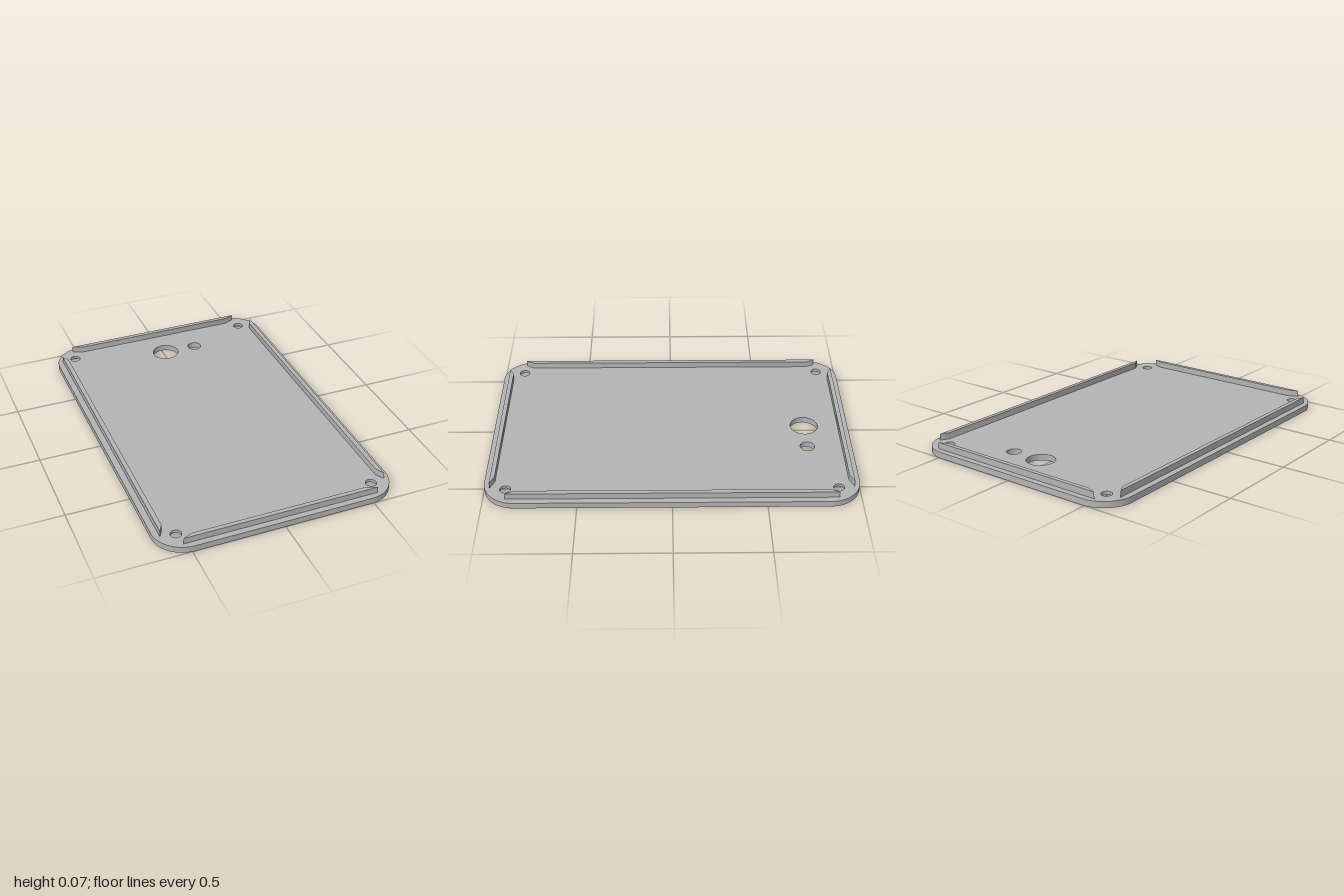
import * as THREE from 'three';
import { toCreasedNormals } from 'three/addons/utils/BufferGeometryUtils.js';

const W = 0.657, L = 1.0, R = 0.17;      // plate half width, half length, corner radius
const STEP = 0.017, T = 0.034, TOP = 0.069; // recess depth, plate thickness, lip top
const RING_Z = -0.34, RING_OUT = 0.63, RING_IN = 0.515;
const TAB = 0.066, TAB_END = 0.45;       // half width and far end of the tab slot

// Shapes are drawn with shape y = -z
function plateOutline() {
  const s = new THREE.Shape();
  s.moveTo(W, -L + R);
  s.absarc(W - R, L - R, R, 0, Math.PI / 2);
  s.absarc(-W + R, L - R, R, Math.PI / 2, Math.PI);
  s.absarc(-W + R, -L + R, R, Math.PI, Math.PI * 1.5);
  s.absarc(W - R, -L + R, R, Math.PI * 1.5, Math.PI * 2);
  return s;
}

function circle(x, z, r, Type = THREE.Path) {
  return new Type().absarc(x, -z, r, 0, Math.PI * 2);
}

// Outer edge of the ring recess with its rectangular tab
function ringOutline() {
  const p = new THREE.Path();
  const a = Math.asin(TAB / RING_OUT);
  p.moveTo(-TAB, -TAB_END);
  p.lineTo(TAB, -TAB_END);
  p.absarc(0, -RING_Z, RING_OUT, -Math.PI / 2 + a, Math.PI * 1.5 - a);
  p.closePath();
  return p;
}

function slab(name, shape, y0, y1, material) {
  const extruded = new THREE.ExtrudeGeometry(shape, {
    depth: y1 - y0, bevelEnabled: false, curveSegments: 40,
  });
  extruded.rotateX(-Math.PI / 2).translate(0, y0, 0);
  const mesh = new THREE.Mesh(toCreasedNormals(extruded, 0.6), material);
  mesh.name = name;
  return mesh;
}

export function createModel() {
  const group = new THREE.Group();
  group.name = 'backPlate';
  const grey = new THREE.MeshStandardMaterial({ color: 0xb4b4b4 });
  grey.name = 'grey';

  const screwHoles = (r) => [-1, 1].flatMap((sx) =>
    [-1, 1].map((sz) => circle(sx * 0.543, sz * 0.883, r)));
  const lensHoles = () => [circle(0, -0.753, 0.077), circle(0.19, -0.753, 0.04)];

  // Upper layer with the through holes
  const upper = plateOutline();
  upper.holes.push(...screwHoles(0.029), ...lensHoles());
  group.add(slab('plateUpper', upper, STEP, T, grey));

  // Lower layer with the ring recess and counterbored screw holes
  const lower = plateOutline();
  lower.holes.push(...screwHoles(0.052), ringOutline());
  group.add(slab('plateLower', lower, 0, STEP, grey));

  // Disc left standing inside the ring recess
  const disc = circle(0, RING_Z, RING_IN, THREE.Shape);
  disc.holes.push(...lensHoles());
  group.add(slab('innerDisc', disc, 0, STEP, grey));

  // Four lips with mitred ends; rails run along z, end lips along x
  const lip = (name, angle, outer, inner, halfOuter, halfInner) => {
    const s = new THREE.Shape([
      [-halfOuter, -outer], [halfOuter, -outer], [halfInner, -inner], [-halfInner, -inner],
    ].map(([x, y]) => new THREE.Vector2(x, y)));
    const mesh = slab(name, s, T, TOP, grey);
    mesh.rotation.y = angle;
    group.add(mesh);
  };
  lip('frontLip', 0, 0.967, 0.943, 0.535, 0.48);
  lip('backLip', Math.PI, 0.967, 0.943, 0.535, 0.48);
  lip('leftLip', Math.PI / 2, 0.623, 0.598, 0.876, 0.83);
  lip('rightLip', -Math.PI / 2, 0.623, 0.598, 0.876, 0.83);

  return group;
}
